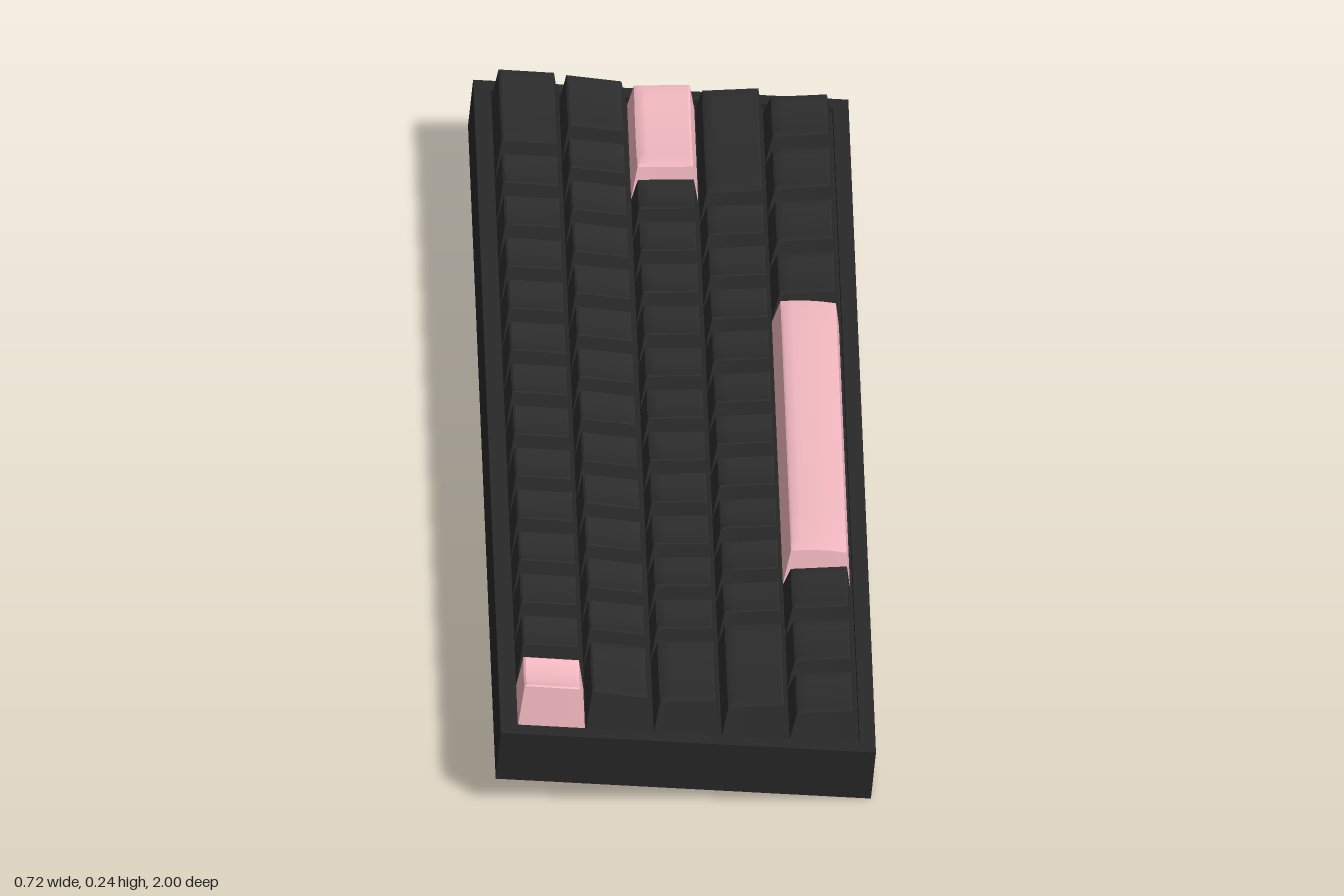
import * as THREE from 'three';
import { toCreasedNormals } from 'three/addons/utils/BufferGeometryUtils.js';

const U = 0.1285; // key pitch
const TILT = THREE.MathUtils.degToRad(5);
const mat = (color) => new THREE.MeshStandardMaterial({ color });

// One row per entry, back (-x) to front (+x): top heights at both edges,
// sideways lean of the top, key widths in units from +z to -z.
const ones = (n) => Array(n).fill(1);
const ROWS = [
  { name: 'numberRow', h: [0.074, 0.073], lean: -0.005, keys: [...ones(13), 2], accent: 0 },
  { name: 'upperRow', h: [0.069, 0.061], lean: -0.005, keys: [1.5, ...ones(12), 1.5] },
  { name: 'homeRow', h: [0.053, 0.061], lean: -0.004, keys: [1.75, ...ones(11), 2.25], accent: 12 },
  { name: 'lowerRow', h: [0.049, 0.062], lean: -0.003, keys: [2.25, ...ones(10), 2.75] },
  { name: 'spaceRow', h: [0.043, 0.056], lean: -0.001, keys: [1.25, 1.25, 1.25, 6.25, 1.25, 1.25, 1.25, 1.25], accent: 3 },
];
const BASE = -0.012; // recess floor, below the case rim

// Tapered keycap with softened top edge; dished along z, or domed across x for the space bar
function keycap(units, h, lean, domed) {
  const geo = new THREE.BoxGeometry(2, 1, 2, 8, 2, 10);
  const p = geo.attributes.position;
  const length = units * U - 0.003;
  // bunch the outermost columns near the edge to form a small bevel
  const spread = (v, n) => {
    const edge = 1 - 2 / n;
    return Math.abs(v) > edge + 1e-4 ? v : (v / edge) * 0.92;
  };
  for (let i = 0; i < p.count; i++) {
    const a = spread(p.getX(i), 8), b = spread(p.getZ(i), 10), t = p.getY(i) + 0.5;
    const halfX = THREE.MathUtils.lerp(0.0635, 0.0525, t);
    const halfZ = THREE.MathUtils.lerp(length / 2, length / 2 - 0.018, t);
    let top = THREE.MathUtils.lerp(h[0], h[1], (a + 1) / 2);
    top += domed ? 0.004 * (1 - a * a) : -0.008 * (1 - b * b);
    if (Math.abs(a) > 0.99 || Math.abs(b) > 0.99) top -= 0.003;
    p.setXYZ(i, a * halfX + lean * t, THREE.MathUtils.lerp(BASE, top, t), b * halfZ);
  }
  return toCreasedNormals(geo, 0.6);
}

function rect(Type, hx, hy) {
  return new Type([[-hx, -hy], [hx, -hy], [hx, hy], [-hx, hy]].map(([x, y]) => new THREE.Vector2(x, y)));
}

export function createModel() {
  const model = new THREE.Group();
  const caseMat = mat(0x282828), keyMat = mat(0x2c2c2c), pinkMat = mat(0xf2b8c0), footMat = mat(0xcccccc);
  const add = (parent, name, geo, material) => {
    const mesh = new THREE.Mesh(geo, material);
    mesh.name = name;
    parent.add(mesh);
    return mesh;
  };

  // Tilted body, with its origin at the centre of the rim
  const body = new THREE.Group();
  body.name = 'keyboard';
  body.position.set(0.0035, 0.144, 0);
  body.rotation.z = -TILT;
  model.add(body);

  // Case frame around the key recess
  const outline = rect(THREE.Shape, 0.355, 1);
  outline.holes.push(rect(THREE.Path, 0.325, 0.972));
  const frame = new THREE.ExtrudeGeometry(outline, { depth: 0.11, bevelEnabled: false });
  frame.rotateX(-Math.PI / 2).translate(0, -0.11, 0);
  add(body, 'caseFrame', frame, caseMat);

  // Plate filling the case up to the recess floor
  const plateHeight = 0.11 + BASE;
  add(body, 'casePlate', new THREE.BoxGeometry(0.65, plateHeight, 1.944), caseMat)
    .position.y = BASE - plateHeight / 2;

  // Key rows
  ROWS.forEach(({ name, h, lean, keys, accent }, r) => {
    const row = new THREE.Group();
    row.name = name;
    row.position.x = (r - 2) * U;
    body.add(row);
    let z = 7.5 * U;
    keys.forEach((units, k) => {
      const isSpace = units > 6;
      const geo = keycap(units, isSpace ? [0.056, 0.058] : h, lean, isSpace);
      const key = add(row, isSpace ? 'spaceBar' : 'keycap', geo, k === accent ? pinkMat : keyMat);
      key.position.z = z - (units * U) / 2;
      z -= units * U;
    });
  });

  // Wedge foot beneath the case
  const side = new THREE.Shape([[-0.315, 0.002], [0.345, 0.002], [-0.315, 0.061]]
    .map(([x, y]) => new THREE.Vector2(x, y)));
  const wedge = new THREE.ExtrudeGeometry(side, { depth: 1.8, bevelEnabled: false });
  add(model, 'wedgeFoot', wedge.translate(0, 0, -0.9), footMat);

  return model;
}
